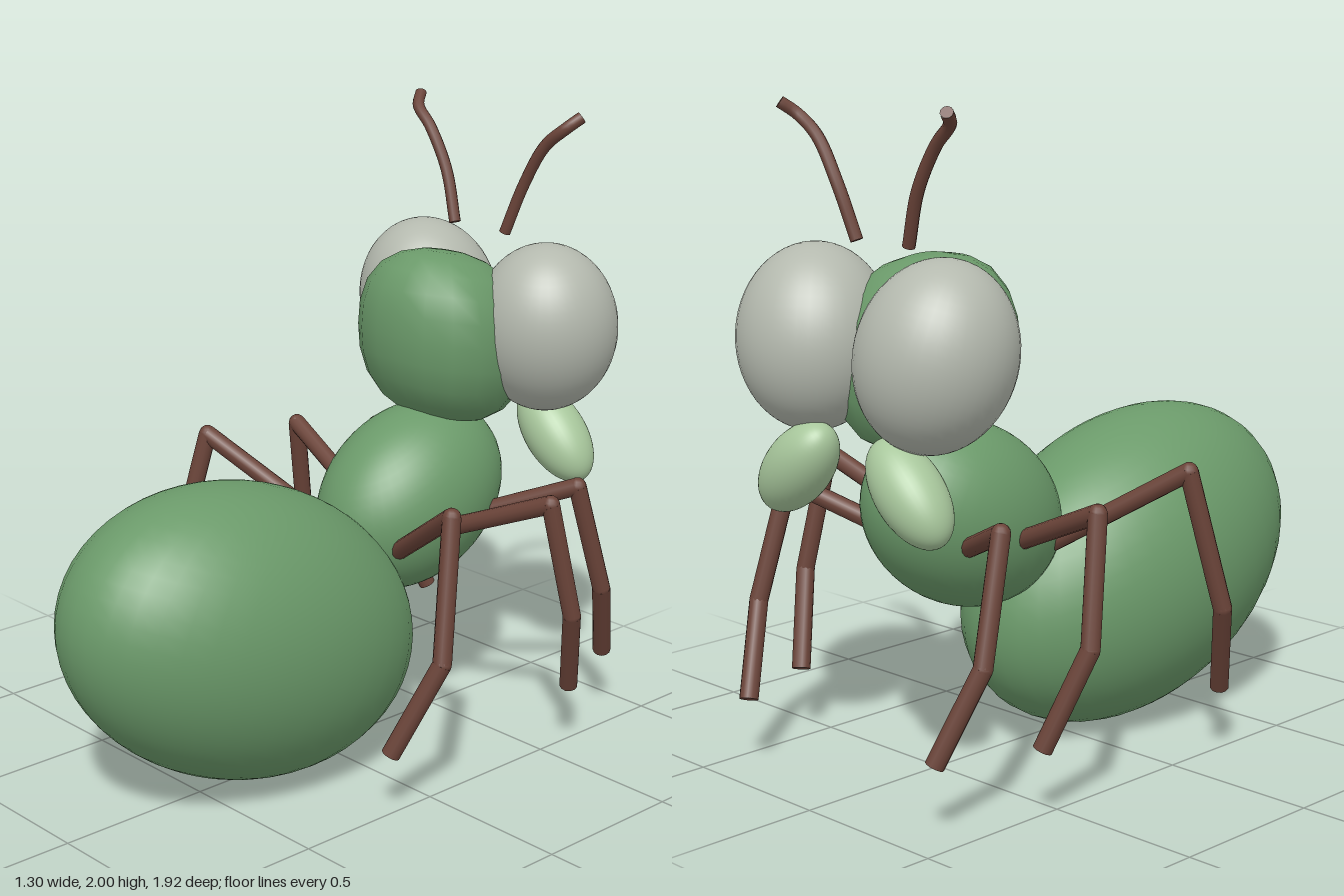
import * as THREE from 'three';

const mat = (name, color) => {
  const m = new THREE.MeshStandardMaterial({ color });
  m.name = name;
  return m;
};

export function createModel() {
  const model = new THREE.Group();
  const green = mat('body green', 0x6b9a6a);
  const grey = mat('eye grey', 0xb4b9ae);
  const pale = mat('pale green', 0xa8c79c);
  const brown = mat('leg brown', 0x6b4439);

  const add = (parent, name, geometry, material) => {
    const mesh = new THREE.Mesh(geometry, material);
    mesh.name = name;
    parent.add(mesh);
    return mesh;
  };
  const ellipsoid = (name, material, pos, radii, rot) => {
    const mesh = add(model, name, new THREE.SphereGeometry(1, 40, 28), material);
    mesh.position.set(...pos);
    mesh.scale.set(...radii);
    mesh.rotation.set(...rot);
    return mesh;
  };

  // Body
  ellipsoid('abdomen', green, [0, 0.49, 0.33], [0.395, 0.46, 0.655], [-0.367, 0, 0]);
  ellipsoid('thorax', green, [0, 0.77, -0.39], [0.25, 0.276, 0.356], [0.48, 0, 0]);

  // Head: a coarse, slightly squared ball, sheared down towards the face
  const headGeo = new THREE.SphereGeometry(1, 18, 12);
  const p = headGeo.attributes.position;
  const n = 2.4;
  const v = new THREE.Vector3();
  for (let i = 0; i < p.count; i++) {
    v.fromBufferAttribute(p, i);
    const sum = Math.abs(v.x) ** n + Math.abs(v.y) ** n + Math.abs(v.z) ** n;
    v.multiplyScalar(sum ** (-1 / n));
    p.setXYZ(i, v.x * 0.265, v.y * 0.28 + v.z * 0.045, v.z * 0.25);
  }
  headGeo.computeVertexNormals();
  add(model, 'head', headGeo, green).position.set(0, 1.27, -0.53);

  // A straight-sided limb with rounded joints and flat ends
  const limb = (name, points, radius) => {
    const group = new THREE.Group();
    group.name = name;
    const pts = points.map((q) => new THREE.Vector3(...q));
    for (let i = 0; i < pts.length - 1; i++) {
      const dir = pts[i + 1].clone().sub(pts[i]);
      const seg = add(group, 'legSegment', new THREE.CylinderGeometry(radius, radius, dir.length(), 12), brown);
      seg.position.copy(pts[i]).addScaledVector(dir, 0.5);
      seg.quaternion.setFromUnitVectors(new THREE.Vector3(0, 1, 0), dir.normalize());
      if (i > 0) add(group, 'legJoint', new THREE.SphereGeometry(radius, 12, 8), brown).position.copy(pts[i]);
    }
    model.add(group);
  };

  const legs = {
    FrontLeg: [[0.18, 0.72, -0.54], [0.46, 0.84, -0.68], [0.49, 0.48, -0.78], [0.41, 0.21, -0.89]],
    MiddleLeg: [[0.2, 0.71, -0.36], [0.58, 0.87, -0.42], [0.62, 0.5, -0.49], [0.53, 0.21, -0.59]],
    HindLeg: [[0.17, 0.67, -0.18], [0.56, 0.92, -0.01], [0.62, 0.5, 0.08], [0.52, 0.21, 0.19]],
  };

  for (const [side, s] of [['left', 1], ['right', -1]]) {
    ellipsoid(side + 'Eye', grey, [s * 0.26, 1.313, -0.728], [0.23, 0.276, 0.23], [0.2, 0, -s * 0.15]);
    ellipsoid(side + 'Mandible', pale, [s * 0.24, 0.94, -0.815], [0.1, 0.18, 0.1], [0, 0, s * 0.78]);

    for (const [name, pts] of Object.entries(legs)) {
      limb(side + name, pts.map(([x, y, z]) => [s * x, y, z]), 0.029);
    }

    // Antenna: curved tube with closed ends
    const curve = new THREE.CatmullRomCurve3(
      [[0.11, 1.6, -0.69], [0.17, 1.76, -0.708], [0.25, 1.89, -0.712], [0.32, 1.95, -0.725], [0.35, 1.985, -0.765]]
        .map(([x, y, z]) => new THREE.Vector3(s * x, y, z)));
    add(model, side + 'Antenna', new THREE.TubeGeometry(curve, 28, 0.019, 10), brown);
    for (const [t, sign] of [[0, -1], [1, 1]]) {
      const cap = add(model, side + 'AntennaEnd', new THREE.CircleGeometry(0.019, 10), brown);
      cap.position.copy(curve.getPoint(t));
      cap.quaternion.setFromUnitVectors(new THREE.Vector3(0, 0, 1), curve.getTangent(t).multiplyScalar(sign));
    }
  }
  return model;
}
